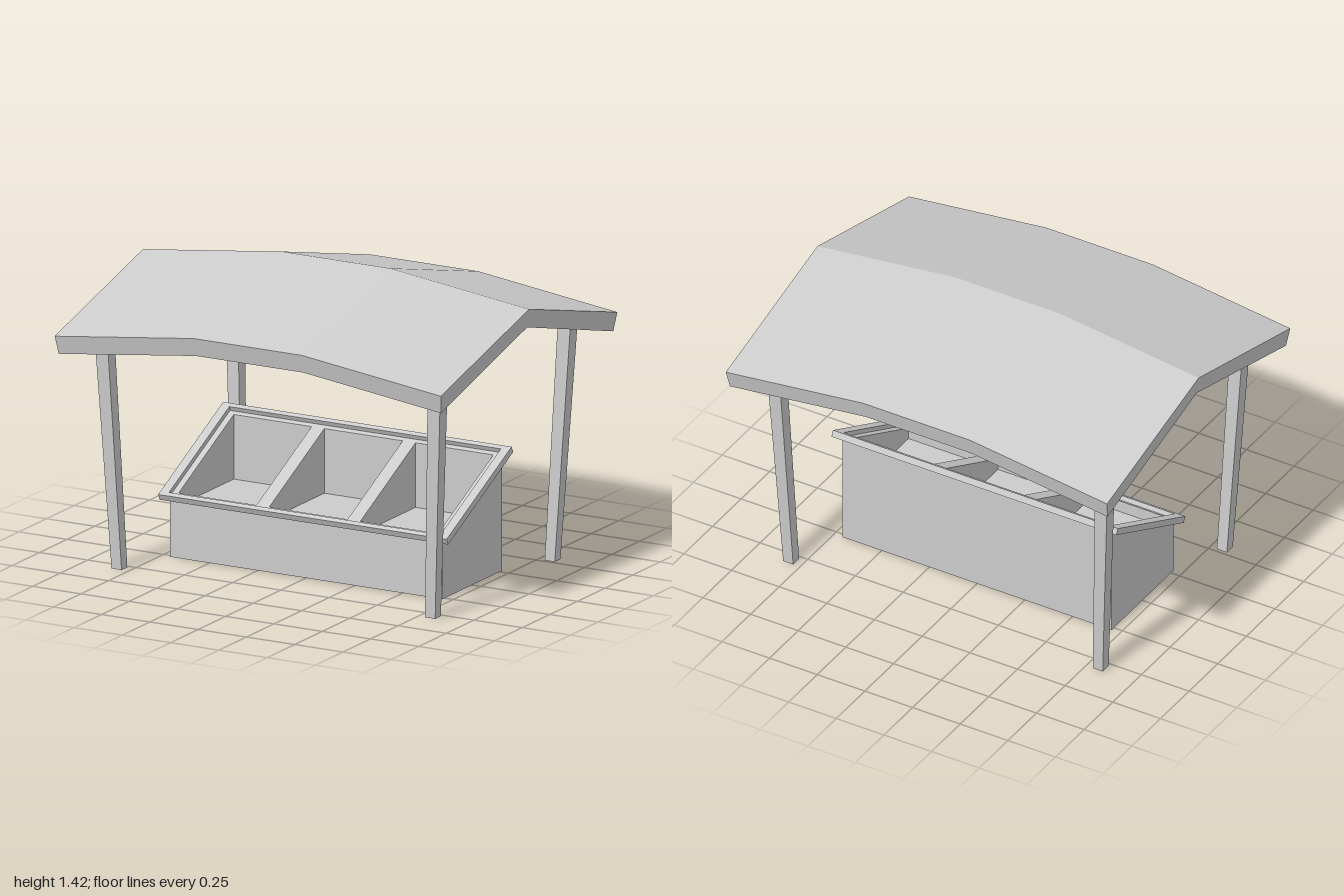
import * as THREE from 'three';

const material = new THREE.MeshStandardMaterial({ color: 0xcccccc, flatShading: true });

function add(parent, geometry, name) {
  const mesh = new THREE.Mesh(geometry, material);
  mesh.name = name;
  parent.add(mesh);
  return mesh;
}

// Moves every vertex of a geometry by a rule
function reshape(geometry, rule) {
  const p = geometry.attributes.position, v = new THREE.Vector3();
  for (let i = 0; i < p.count; i++) {
    rule(v.fromBufferAttribute(p, i));
    p.setXYZ(i, v.x, v.y, v.z);
  }
  geometry.computeVertexNormals();
  return geometry;
}

// Slanted plane of the bin's top
const SLOPE = 0.488;
const binTop = z => 0.42 - SLOPE * z;

// Upright wall whose top follows the slanted plane
function slantedWall(x0, x1, z0, z1, y0) {
  return reshape(new THREE.BoxGeometry(1, 1, 1), v => {
    const z = v.z > 0 ? z1 : z0;
    v.set(v.x > 0 ? x1 : x0, v.y > 0 ? binTop(z) : y0, z);
  });
}

// Gabled roof slab, bent down towards both ends
function createRoof() {
  return reshape(new THREE.BoxGeometry(2, 2, 2, 3, 1, 2), v => {
    const under = v.y < 0, end = Math.abs(v.x) > 0.9, eave = Math.abs(v.z) > 0.5;
    v.x = Math.sign(v.x) * (end ? 1 : 0.28) * (under ? 0.99 : 1);
    v.z = Math.sign(v.z) * (eave ? (under ? 0.78 : 0.8) : 0);
    v.y = 1.42 - (end ? 0.09 : 0) - (eave ? 0.21 : 0) - (under ? 0.086 : 0);
  });
}

// Square post, leaning outwards and widening upwards
function createPost(sx, sz) {
  return reshape(new THREE.BoxGeometry(2, 2, 2), v => {
    const top = v.y > 0, half = top ? 0.033 : 0.026;
    v.set(sx * (top ? 0.864 : 0.812) + v.x * half, top ? 1.12 : 0,
      sz * (top ? 0.59 : 0.542) + v.z * half);
  });
}

// Raised rectangular frame lying on the bin
function createRim() {
  const rect = (path, w, h) => path.moveTo(-w, -h).lineTo(w, -h).lineTo(w, h).lineTo(-w, h).closePath();
  const shape = new THREE.Shape();
  rect(shape, 0.747, 0.328);
  const hole = new THREE.Path();
  rect(hole, 0.703, 0.304);
  shape.holes.push(hole);
  return new THREE.ExtrudeGeometry(shape, { depth: 0.031, bevelEnabled: false }).translate(0, 0, -0.031);
}

function createBin() {
  const bin = new THREE.Group();
  bin.name = 'displayBin';
  const W = 0.705, D = 0.27, inner = 0.672, zi = 0.25, floorY = 0.24;

  // Outer walls
  add(bin, slantedWall(-W, W, zi, D, 0), 'frontWall');
  add(bin, slantedWall(-W, W, -D, -zi, 0), 'backWall');
  for (const s of [-1, 1]) {
    const [a, b] = s < 0 ? [-W, -inner] : [inner, W];
    add(bin, slantedWall(a, b, -zi, zi, 0), s < 0 ? 'rightWall' : 'leftWall');
    // Divider between two compartments
    add(bin, slantedWall(s * 0.236 - 0.033, s * 0.236 + 0.033, -zi, zi, floorY), 'divider');
  }
  // Solid base with the compartment floor on top
  add(bin, new THREE.BoxGeometry(2 * inner, floorY, 2 * zi).translate(0, floorY / 2, 0), 'compartmentFloor');

  // Rim
  const rim = add(bin, createRim(), 'rim');
  rim.rotation.x = -Math.PI / 2 + Math.atan(SLOPE);
  rim.position.set(0, 0.438, 0.01);
  return bin;
}

export function createModel() {
  const model = new THREE.Group();
  model.name = 'marketStall';
  add(model, createRoof(), 'roof');
  for (const sx of [-1, 1])
    for (const sz of [-1, 1])
      add(model, createPost(sx, sz), `${sz > 0 ? 'front' : 'back'}${sx > 0 ? 'Left' : 'Right'}Post`);
  model.add(createBin());
  return model;
}
